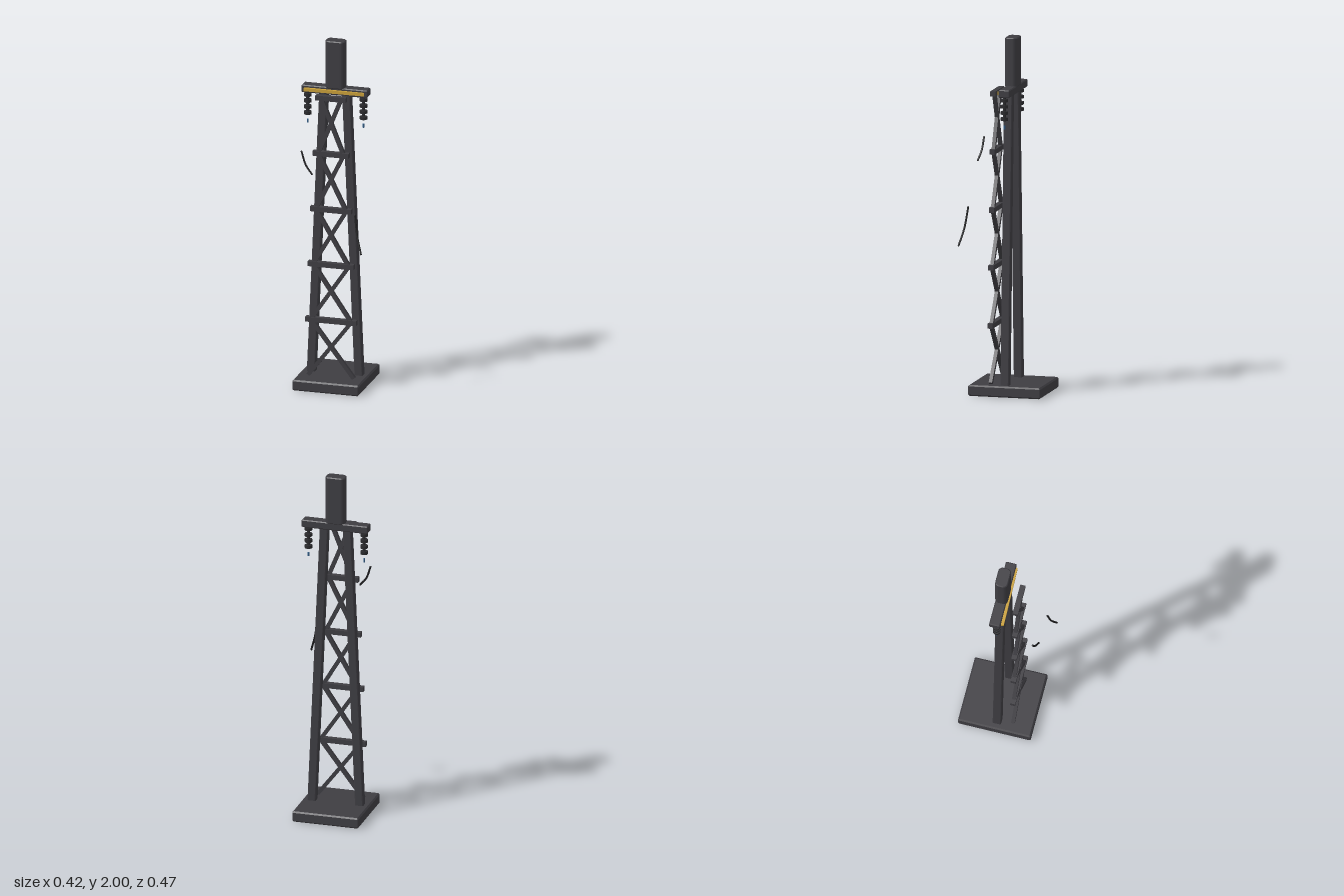
import * as THREE from 'three';

const mat = (name, color) => {
  const m = new THREE.MeshStandardMaterial({ color });
  m.name = name;
  return m;
};

// Upright block with rounded plan corners and chamfered top and bottom edges
function block(w, h, d, corner, bevel, curveSegments = 1) {
  const x = w / 2 - bevel, y = d / 2 - bevel, r = Math.max(corner - bevel, 0.0005);
  const s = new THREE.Shape();
  s.absarc(x - r, y - r, r, 0, Math.PI / 2);
  s.absarc(-x + r, y - r, r, Math.PI / 2, Math.PI);
  s.absarc(-x + r, -y + r, r, Math.PI, Math.PI * 1.5);
  s.absarc(x - r, -y + r, r, Math.PI * 1.5, Math.PI * 2);
  const g = new THREE.ExtrudeGeometry(s, {
    depth: h - 2 * bevel, bevelEnabled: true, bevelThickness: bevel, bevelSize: bevel,
    bevelSegments: 1, curveSegments
  });
  g.translate(0, 0, -(h - 2 * bevel) / 2);
  g.rotateX(-Math.PI / 2);
  return g;
}

export function createModel() {
  const root = new THREE.Group();
  root.name = 'latticeTower';
  const steel = mat('darkSteel', 0x3e3d42);
  const black = mat('blackRubber', 0x1e1e20);
  const ceramic = mat('darkCeramic', 0x2b2b2e);
  const gold = mat('gold', 0xc9a03a);
  const blue = mat('blue', 0x35608a);
  const CX = -0.018; // centre line of the tower

  const add = (name, geo, material, x, y, z, parent = root) => {
    const m = new THREE.Mesh(geo, material);
    m.name = name;
    m.position.set(x, y, z);
    parent.add(m);
    return m;
  };

  // Straight bar between two points in a plane of constant z
  const bar = (name, x1, y1, x2, y2, z, geoFor) => {
    const dx = x2 - x1, dy = y2 - y1;
    const m = add(name, geoFor(Math.hypot(dx, dy)), steel, (x1 + x2) / 2, (y1 + y2) / 2, z);
    m.rotation.z = Math.atan2(-dx, dy);
  };

  // Base slab, crossbeam and top column
  add('base', block(0.384, 0.062, 0.415, 0.008, 0.008), steel, CX, 0.031, -0.027);
  add('crossbeam', block(0.382, 0.044, 0.062, 0.005, 0.005), steel, CX, 1.708, -0.026);
  add('topColumn', block(0.114, 0.276, 0.072, 0.025, 0.005, 5), steel, CX, 1.862, -0.025);

  // Gold strip set slightly askew on the crossbeam
  const strip = add('goldStrip', new THREE.BoxGeometry(0.346, 0.018, 0.016), gold, CX, 1.708, 0.0105);
  strip.rotation.y = 0.023;

  // Two leaning legs
  for (const s of [-1, 1]) {
    bar('leg', CX + s * 0.138, 0.055, CX + s * 0.066, 1.7, -0.021,
      (len) => block(0.047, len, 0.048, 0.006, 0.004));
  }

  // Lattice of rungs and crossed braces in front of the legs
  const levels = [0.065, 0.39, 0.715, 1.037, 1.362, 1.687];
  const halves = [0.162, 0.147, 0.133, 0.118, 0.103, 0.088];
  const Z = 0.066;
  for (let i = 0; i < 5; i++) {
    add('rung', new THREE.BoxGeometry(halves[i + 1] * 2, 0.028, 0.03), steel, CX, levels[i + 1], Z);
    const low = halves[i] - 0.03, high = halves[i + 1] - 0.03;
    for (const s of [-1, 1]) {
      bar('brace', CX - s * low, levels[i], CX + s * high, levels[i + 1], Z,
        (len) => new THREE.BoxGeometry(0.022, len, 0.02));
    }
  }

  // Insulator strings with a small blue tip hanging below
  for (const s of [-1, 1]) {
    const g = new THREE.Group();
    g.name = 'insulator';
    g.position.set(CX + s * 0.161, 0, -0.021);
    root.add(g);
    add('insulatorRod', new THREE.CylinderGeometry(0.009, 0.009, 0.14, 10), ceramic, 0, 1.62, 0, g);
    for (let i = 0; i < 4; i++) {
      add('insulatorDisc', new THREE.CylinderGeometry(0.021, 0.021, 0.017, 14), ceramic,
        0, 1.668 - i * 0.035, 0, g);
    }
    add('insulatorTip', new THREE.CylinderGeometry(0.005, 0.005, 0.022, 8), blue, 0, 1.516, 0, g);
  }

  // Loose hanging cables
  const cables = [
    [[-0.155, 1.4, 0.179], [-0.129, 1.328, 0.186], [-0.09, 1.28, 0.197]],
    [[0.155, 1.06, 0.184], [0.173, 0.945, 0.201], [0.202, 0.85, 0.226]]
  ];
  for (const pts of cables) {
    const curve = new THREE.CatmullRomCurve3(pts.map((p) => new THREE.Vector3(...p)));
    add('cable', new THREE.TubeGeometry(curve, 16, 0.0055, 8), black, 0, 0, 0);
    for (const p of [pts[0], pts[2]]) add('cableEnd', new THREE.SphereGeometry(0.0055, 8, 6), black, ...p);
  }
  return root;
}
